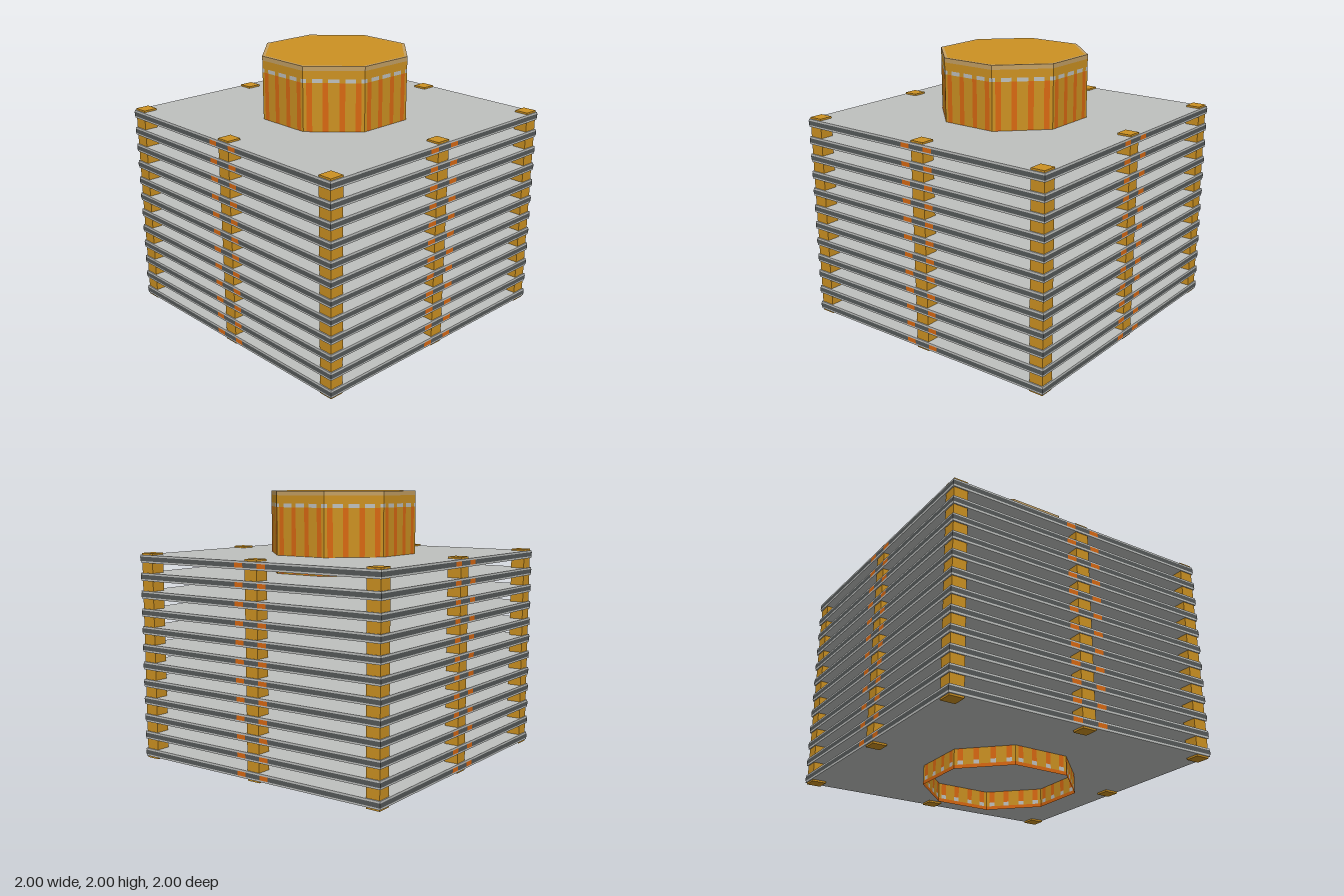
import * as THREE from 'three';

const paint = (name, color) => new THREE.MeshStandardMaterial({ name, color, side: THREE.DoubleSide });

export function createModel() {
  const model = new THREE.Group();
  model.name = 'tower';
  const gold = paint('gold', 0xcc9122);
  const orange = paint('orange', 0xd86812);
  const tan = paint('tan', 0xc4a064);
  const grey = paint('lightGrey', 0xbec0be);
  const dark = paint('darkGrey', 0x565a5a);

  const add = (parent, name, geometry, material, x = 0, y = 0, z = 0) => {
    const mesh = new THREE.Mesh(geometry, material);
    mesh.name = name;
    mesh.position.set(x, y, z);
    parent.add(mesh);
    return mesh;
  };

  // Octagonal core: eight open-bottomed walls made of striped panels
  const apothem = 0.484, width = 0.401;
  const stripes = [-0.16, -0.055, 0.055, 0.16];
  const half = 0.0185;
  const edges = [-width / 2, ...stripes.flatMap(s => [s - half, s + half]), width / 2];
  for (let side = 0; side < 8; side++) {
    const wall = new THREE.Group();
    wall.name = 'coreWall';
    wall.rotation.y = side * Math.PI / 4;
    const panel = (name, x0, x1, y0, y1, material) => add(wall, name,
      new THREE.PlaneGeometry(x1 - x0, y1 - y0), material, (x0 + x1) / 2, (y0 + y1) / 2, apothem);
    const w = width / 2;
    panel('baseBand', -w, w, 0, 0.025, orange);
    for (let i = 0; i < edges.length - 1; i++) {
      const isStripe = i % 2 === 1;
      const main = isStripe ? orange : gold;
      panel('lowerDash', edges[i], edges[i + 1], 0.025, 0.052, isStripe ? grey : gold);
      panel('wallStripe', edges[i], edges[i + 1], 0.052, 1.89, main);
      panel('upperDash', edges[i], edges[i + 1], 1.89, 1.916, isStripe ? gold : grey);
    }
    panel('topBand', -w, w, 1.916, 1.97, gold);
    panel('topTrim', -w, w, 1.97, 2, tan);
    model.add(wall);
  }

  // Roof of the core: gold octagon inside a pale border
  const octagon = a => {
    const r = a / Math.cos(Math.PI / 8);
    return Array.from({ length: 8 }, (_, i) => {
      const t = (i + 0.5) * Math.PI / 4;
      return new THREE.Vector2(r * Math.cos(t), r * Math.sin(t));
    });
  };
  const border = new THREE.Shape(octagon(apothem));
  border.holes.push(new THREE.Path(octagon(apothem - 0.02)));
  add(model, 'roofBorder', new THREE.ShapeGeometry(border).rotateX(-Math.PI / 2), tan, 0, 2, 0);
  add(model, 'roof', new THREE.ShapeGeometry(new THREE.Shape(octagon(apothem - 0.02))).rotateX(-Math.PI / 2),
    gold, 0, 2, 0);

  // Twelve floor slabs with a painted band round the rim
  const bands = [
    [-1, -0.13, dark], [-0.13, -0.06, orange], [-0.06, 0.06, dark],
    [0.06, 0.13, orange], [0.13, 1, dark],
  ];
  const slabGeometry = new THREE.BoxGeometry(1.996, 0.055, 1.996);
  for (let i = 0; i < 12; i++) {
    const floor = new THREE.Group();
    floor.name = 'floor';
    floor.position.y = 0.16 + i * 0.125;
    add(floor, 'slab', slabGeometry, grey);
    for (let side = 0; side < 4; side++) {
      const rim = new THREE.Group();
      rim.name = 'rim';
      rim.rotation.y = side * Math.PI / 2;
      for (const [x0, x1, material] of bands) {
        add(rim, 'rimBand', new THREE.PlaneGeometry(x1 - x0, 0.03), material, (x0 + x1) / 2, 0, 1);
      }
      floor.add(rim);
    }
    model.add(floor);
  }

  // Square posts at the corners and the middle of each side
  const postGeometry = new THREE.BoxGeometry(0.1, 1.455, 0.1);
  for (const x of [-0.94, 0, 0.94]) {
    for (const z of [-0.94, 0, 0.94]) {
      if (x || z) add(model, 'post', postGeometry, gold, x, 0.8475, z);
    }
  }
  return model;
}
